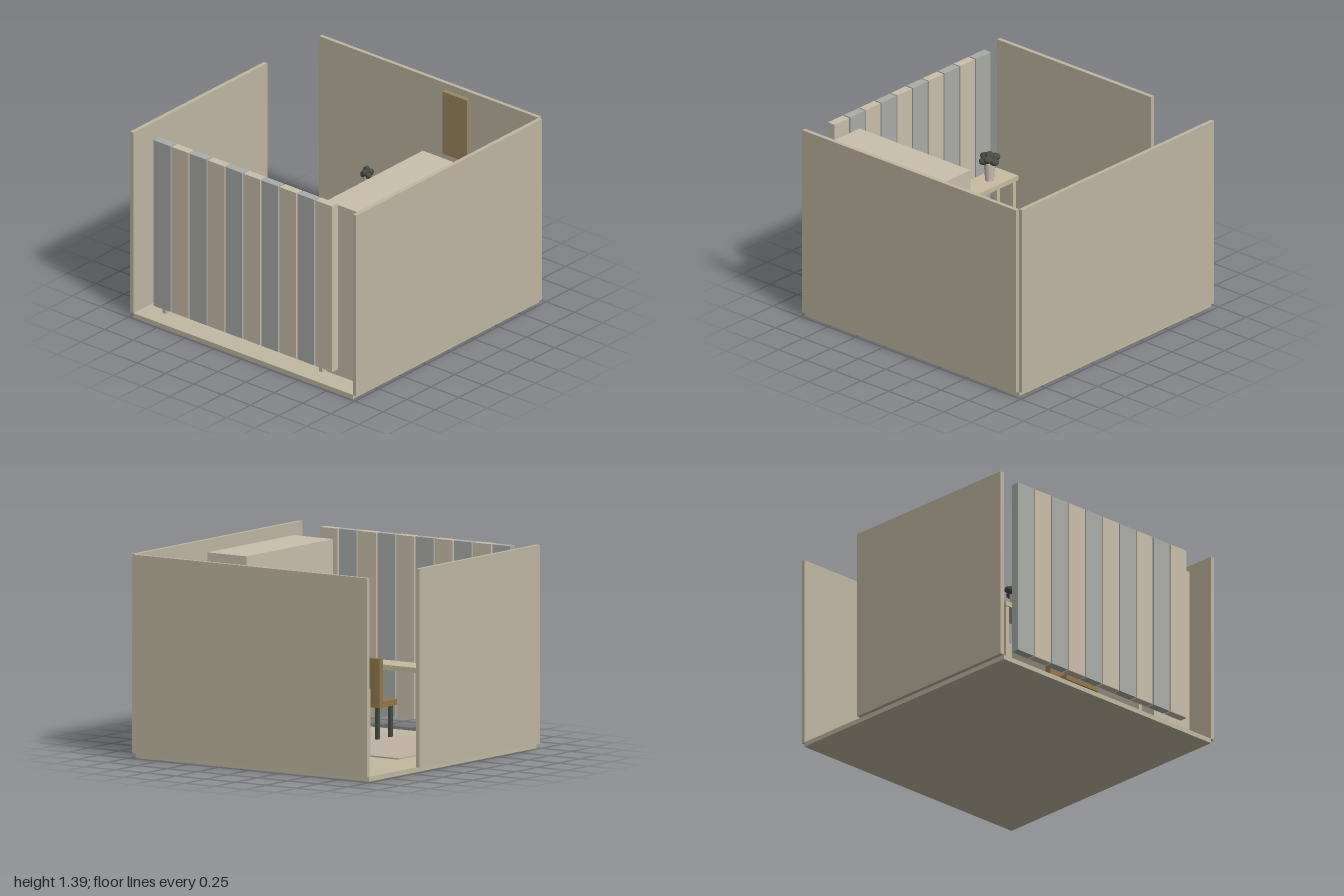
import * as THREE from 'three';

const C = {
  wall: 0xc0b7a1, floor: 0xc2b9a2, closet: 0xcabfac, desk: 0xc8bb9f, rug: 0xbfb3a4,
  bed: 0xcbc2b1, bench: 0xc4b6a2, grey: 0xaaada8, dark: 0x484c41, wood: 0x93794b, frame: 0x9c8860,
};
const mats = {};
const mat = (c) => (mats[c] ??= new THREE.MeshStandardMaterial({ color: C[c], flatShading: true }));
const smooth = {};
const smoothMat = (c) => (smooth[c] ??= new THREE.MeshStandardMaterial({ color: C[c] }));

function add(parent, name, geometry, material, x = 0, y = 0, z = 0) {
  const m = new THREE.Mesh(geometry, material);
  m.name = name;
  m.position.set(x, y, z);
  parent.add(m);
  return m;
}

// Box given by its extents on each axis
function box(parent, name, color, [x0, x1], [y0, y1], [z0, z1]) {
  return add(parent, name, new THREE.BoxGeometry(x1 - x0, y1 - y0, z1 - z0), mat(color),
    (x0 + x1) / 2, (y0 + y1) / 2, (z0 + z1) / 2);
}

function group(parent, name, x = 0, y = 0, z = 0) {
  const g = new THREE.Group();
  g.name = name;
  g.position.set(x, y, z);
  parent.add(g);
  return g;
}

// Four square legs inset under a rectangle
function legs(parent, name, color, xs, y, zs, t) {
  for (const x of xs) for (const z of zs)
    box(parent, name, color, [x - t / 2, x + t / 2], y, [z - t / 2, z + t / 2]);
}

// Potted plant: tapered pot with a ring of leaf clumps and one on top
function plant(parent, x, y, z, s) {
  const g = group(parent, 'plant', x, y, z);
  g.scale.setScalar(s);
  add(g, 'pot', new THREE.CylinderGeometry(0.04, 0.03, 0.13, 16), smoothMat('bed'), 0, 0.065, 0);
  const leaf = new THREE.IcosahedronGeometry(0.034, 1);
  for (let i = 0; i < 6; i++) {
    const a = (i / 6) * Math.PI * 2 + Math.PI / 6;
    const m = add(g, 'leaf', leaf, mat('dark'), Math.cos(a) * 0.042, 0.145 + (i % 2) * 0.022, Math.sin(a) * 0.042);
    m.scale.y = 0.75;
  }
  add(g, 'topLeaf', leaf, mat('dark'), 0, 0.178, 0);
}

export function createModel() {
  const room = new THREE.Group();
  room.name = 'bedroom';

  // Shell
  box(room, 'floor', 'floor', [-0.97, 0.97], [0, 0.033], [-0.96, 0.985]);
  box(room, 'backWall', 'wall', [-0.97, 0.97], [0.033, 1.39], [-0.985, -0.957]);
  box(room, 'leftWall', 'wall', [0.97, 1], [0.033, 1.39], [-0.957, 0.985]);
  box(room, 'rightWall', 'wall', [-1, -0.97], [0.033, 1.39], [-0.415, 0.985]);
  box(room, 'rug', 'rug', [-0.66, 0.6], [0.033, 0.043], [-0.185, 0.75]);

  // Vertical slat screen along the front
  const screen = group(room, 'slatScreen');
  for (let i = 0; i < 10; i++) {
    const x = -0.812 + i * 0.159;
    box(screen, 'slat', i % 2 ? 'closet' : 'grey', [x, x + 0.147], [0.13, 1.375], [0.9, 0.96]);
  }

  // Wardrobe
  box(room, 'wardrobe', 'closet', [0.6, 0.925], [0.033, 1.315], [-0.185, 0.822]);

  // Desk
  const desk = group(room, 'desk');
  box(desk, 'deskTop', 'desk', [-0.835, 0.6], [0.485, 0.52], [0.67, 0.865]);
  legs(desk, 'deskLeg', 'desk', [-0.81, 0.575], [0.033, 0.485], [0.695, 0.84], 0.03);

  // Desk lamp
  const lamp = group(room, 'deskLamp', 0.462, 0.52, 0.757);
  add(lamp, 'lampBase', new THREE.CylinderGeometry(0.06, 0.06, 0.02, 24), smoothMat('dark'), 0, 0.01, 0);
  add(lamp, 'lampPole', new THREE.CylinderGeometry(0.01, 0.01, 0.17, 12), smoothMat('dark'), 0, 0.1, 0);
  add(lamp, 'lampShade', new THREE.CylinderGeometry(0.043, 0.056, 0.12, 24), smoothMat('bed'), 0, 0.24, 0);

  // Chair
  const chair = group(room, 'chair');
  box(chair, 'seat', 'wood', [-0.055, 0.24], [0.26, 0.3], [0.44, 0.645]);
  box(chair, 'backrest', 'wood', [-0.055, 0.24], [0.3, 0.595], [0.44, 0.485]);
  legs(chair, 'chairLeg', 'dark', [-0.022, 0.21], [0.043, 0.26], [0.465, 0.615], 0.024);

  // Bed
  const bed = group(room, 'bed');
  box(bed, 'bedFrame', 'bed', [-0.235, 0.86], [0.033, 0.2], [-0.805, -0.2]);
  box(bed, 'mattress', 'bed', [-0.2, 0.86], [0.2, 0.325], [-0.783, -0.222]);
  box(bed, 'blanket', 'dark', [-0.055, 0.2], [0.325, 0.342], [-0.787, -0.218]);
  box(bed, 'headboard', 'bed', [0.86, 0.907], [0.033, 0.56], [-0.805, -0.2]);
  for (const z of [-0.64, -0.365])
    box(bed, 'pillow', 'bed', [0.583, 0.777], [0.325, 0.38], [z - 0.112, z + 0.112]);

  // Low cabinet at the foot of the bed
  box(room, 'cabinet', 'bench', [-0.43, -0.235], [0.033, 0.5], [-0.805, -0.185]);

  // Plants
  plant(room, -0.653, 0.52, 0.767, 1);
  plant(room, -0.342, 0.5, -0.715, 0.62);
  room.children.at(-1).scale.y = 0.97;

  // Panels on the back wall
  box(room, 'tallWallPanel', 'frame', [0.17, 0.385], [0.888, 1.355], [-0.937, -0.9]);
  box(room, 'smallWallPanel', 'wood', [0.465, 0.615], [0.68, 0.95], [-0.937, -0.885]);

  return room;
}
